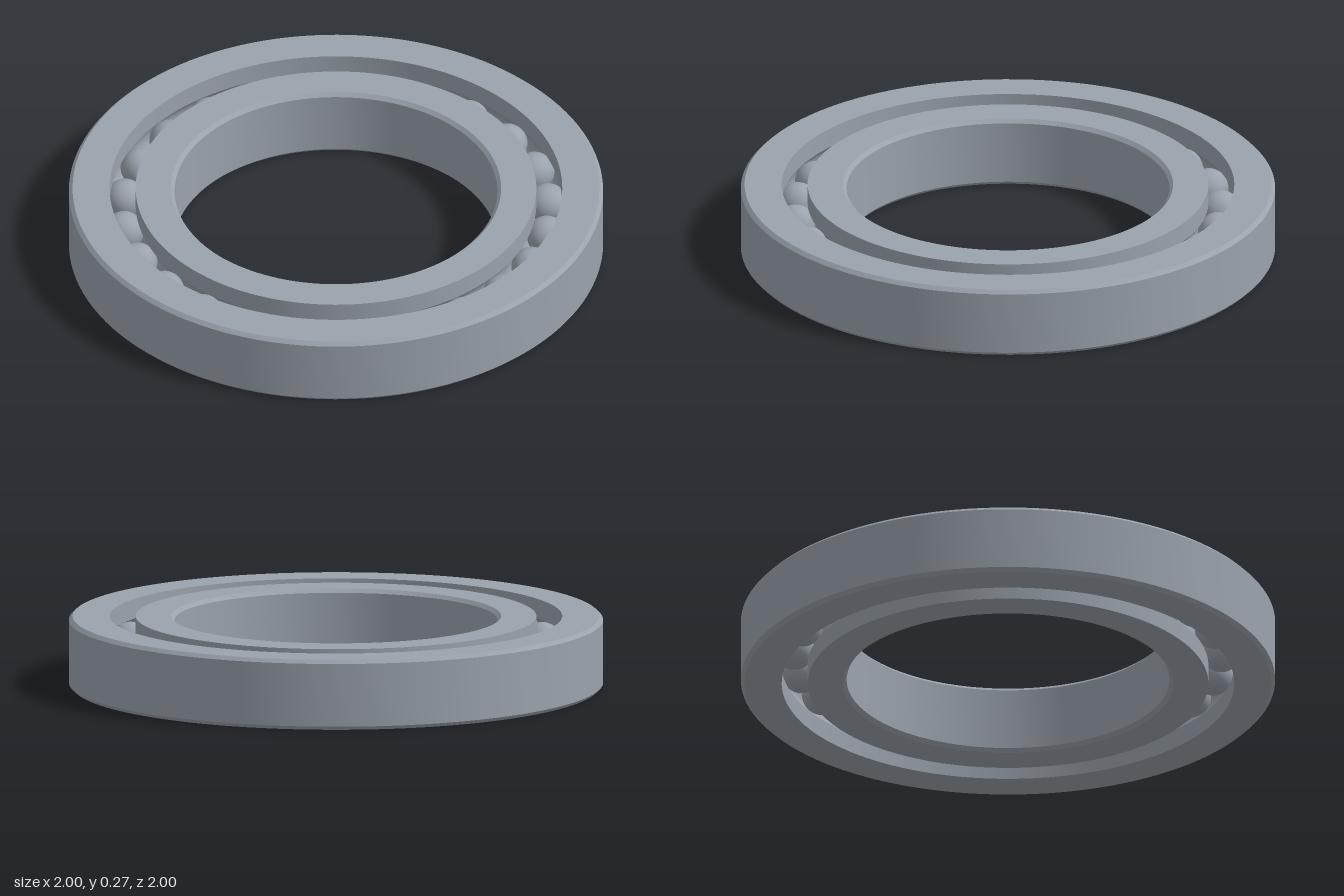
import * as THREE from 'three';
import { toCreasedNormals } from 'three/addons/utils/BufferGeometryUtils.js';

const HEIGHT = 0.266, MID = HEIGHT / 2, CHAMFER = 0.014;
const BALLS = 24, PITCH = 0.798, BALL_R = 0.075;

// Half-circular raceway cut into the wall at radius wallR; side is +1 (outer ring) or -1 (inner ring).
function groove(wallR, side, goingUp) {
  const r = BALL_R + 0.001;
  const half = Math.acos(Math.abs(wallR - PITCH) / r);
  const pts = [];
  for (let i = 0; i <= 12; i++) {
    const a = (goingUp ? 1 : -1) * half * (i / 6 - 1);
    pts.push([PITCH + side * r * Math.cos(a), MID + r * Math.sin(a)]);
  }
  return pts;
}

// Revolve a closed counter-clockwise profile, keeping its corners sharp.
function ring(name, profile, material) {
  const pts = [...profile, profile[0]].map(([x, y]) => new THREE.Vector2(x, y));
  const mesh = new THREE.Mesh(toCreasedNormals(new THREE.LatheGeometry(pts, 128), 0.5), material);
  mesh.name = name;
  return mesh;
}

export function createModel() {
  const group = new THREE.Group();
  group.name = 'ballBearing';
  const steel = new THREE.MeshStandardMaterial({ color: 0x9aa2ac });
  steel.name = 'steel';
  const c = CHAMFER, h = HEIGHT;

  // Outer ring: chamfered outside, raceway on the inside wall
  const outerIn = 0.847;
  group.add(ring('outerRing', [
    [outerIn, 0], [1 - c, 0], [1, c], [1, h - c], [1 - c, h], [outerIn, h],
    ...groove(outerIn, 1, false),
  ], steel));

  // Inner ring: chamfered bore, raceway on the outside wall
  const innerOut = 0.75, bore = 0.604;
  group.add(ring('innerRing', [
    [bore + c, 0], [innerOut, 0], ...groove(innerOut, -1, true),
    [innerOut, h], [bore + c, h], [bore, h - c], [bore, c],
  ], steel));

  // Balls spaced evenly around the raceway
  const balls = new THREE.Group();
  balls.name = 'balls';
  const ballGeometry = new THREE.SphereGeometry(BALL_R, 32, 20);
  for (let i = 0; i < BALLS; i++) {
    const a = THREE.MathUtils.degToRad(3) + (i / BALLS) * Math.PI * 2;
    const ball = new THREE.Mesh(ballGeometry, steel);
    ball.name = 'ball';
    ball.position.set(PITCH * Math.cos(a), MID, -PITCH * Math.sin(a));
    balls.add(ball);
  }
  group.add(balls);
  return group;
}
